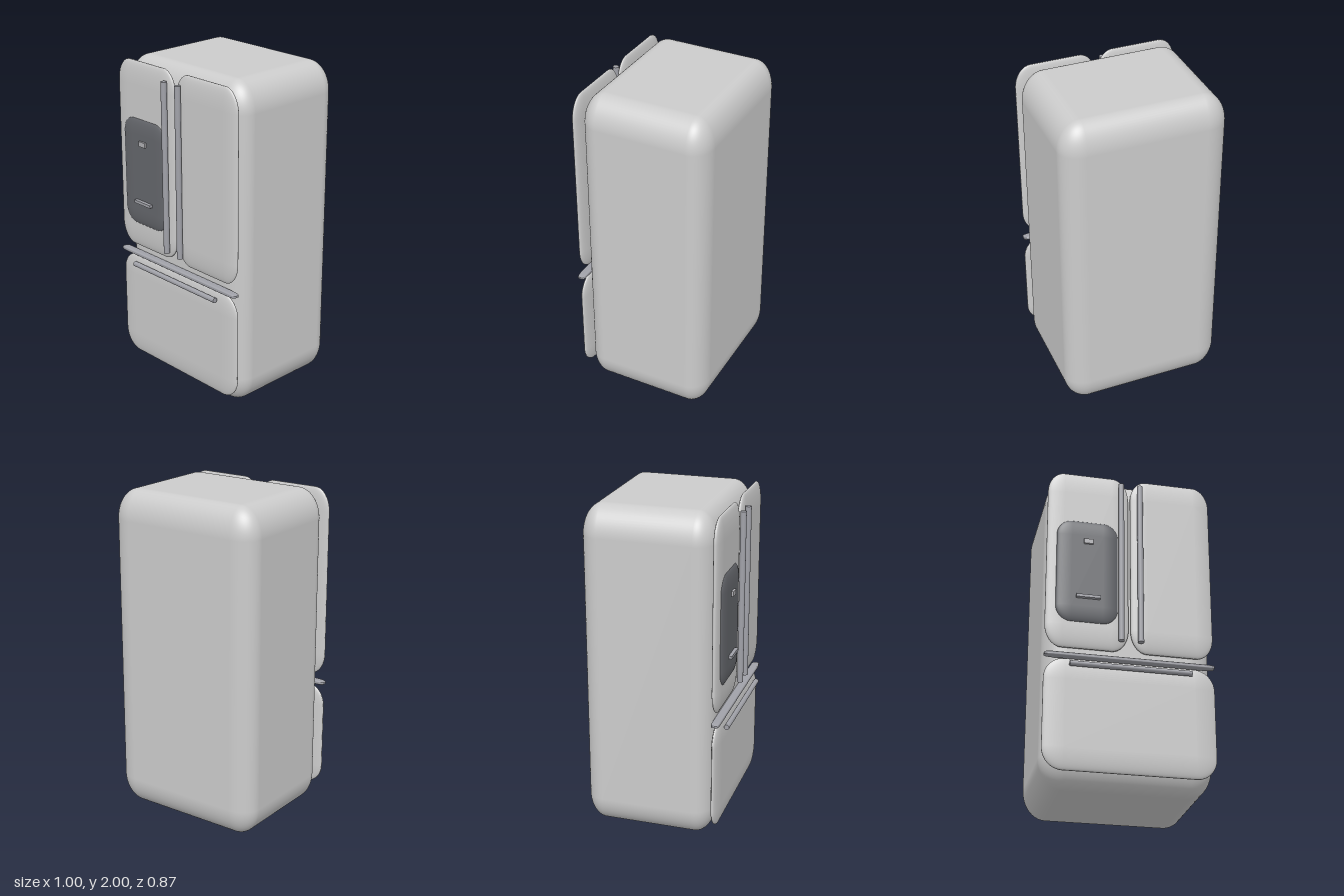
import * as THREE from 'three';

const GREY = 0xcccccc, STEEL = 0xa0a1a8, DARK = 0x64666b;

// Smooth pillow box from min/max corners, with a separate rounding radius per axis
function pillowGeometry(min, max, radii, k = 8) {
  const n = 2 * k + 1;
  const geo = new THREE.BoxGeometry(2, 2, 2, n, n, n);
  const pos = geo.attributes.position, nor = geo.attributes.normal;
  for (let v = 0; v < pos.count; v++) {
    const p = pos.getComponent.bind(pos, v);
    const side = [], dir = new THREE.Vector3();
    for (let a = 0; a < 3; a++) {
      const i = Math.round((p(a) + 1) / 2 * n);
      side[a] = i <= k ? -1 : 1;
      dir.setComponent(a, Math.tan((i <= k ? i - k : i - k - 1) / k * Math.PI / 4));
    }
    dir.normalize();
    const out = [0, 1, 2].map(a =>
      (min[a] + max[a]) / 2 + side[a] * ((max[a] - min[a]) / 2 - radii[a]) + radii[a] * dir.getComponent(a));
    const nrm = new THREE.Vector3(dir.x / radii[0], dir.y / radii[1], dir.z / radii[2]).normalize();
    pos.setXYZ(v, ...out);
    nor.setXYZ(v, nrm.x, nrm.y, nrm.z);
  }
  return geo;
}

export function createModel() {
  const group = new THREE.Group();
  const add = (name, geo, color) => {
    const mesh = new THREE.Mesh(geo, new THREE.MeshStandardMaterial({ color }));
    mesh.name = name;
    group.add(mesh);
    return mesh;
  };
  const pillow = (name, min, max, radii, color = GREY) => add(name, pillowGeometry(min, max, radii), color);
  const block = (name, size, at, color) => add(name, new THREE.BoxGeometry(...size), color).position.set(...at);

  // Cabinet
  pillow('cabinet', [-0.5, 0, -0.435], [0.5, 2, 0.355], [0.14, 0.18, 0.115]);

  // Upper doors and their vertical handles
  for (const s of [-1, 1]) {
    const side = s > 0 ? 'left' : 'right';
    const x0 = s > 0 ? 0.005 : -0.502, x1 = s > 0 ? 0.5 : -0.008;
    pillow(side + 'Door', [x0, 0.815, 0.349], [x1, 1.985, 0.396], [0.1, 0.14, 0.022]);
    add(side + 'DoorHandle', new THREE.CylinderGeometry(0.018, 0.018, 1.055, 16), STEEL)
      .position.set(s * 0.058, 1.3975, 0.416);
  }

  // Freezer drawer with horizontal handle
  pillow('freezerDrawer', [-0.502, 0.075, 0.349], [0.502, 0.745, 0.396], [0.12, 0.13, 0.022]);
  const bar = add('drawerHandle', new THREE.CylinderGeometry(0.016, 0.016, 0.716, 16), STEEL);
  bar.rotation.z = Math.PI / 2;
  bar.position.set(0, 0.701, 0.416);

  // Trim strip between doors and drawer
  pillow('dividerTrim', [-0.502, 0.75, 0.355], [0.502, 0.776, 0.404], [0.05, 0.008, 0.012], STEEL);

  // Dispenser panel, button and drip ledge
  pillow('dispenserPanel', [-0.445, 0.973, 0.37], [-0.075, 1.645, 0.412], [0.09, 0.1, 0.02], DARK);
  block('dispenserButton', [0.056, 0.03, 0.02], [-0.257, 1.501, 0.415], 0xb0b0b4);
  block('dispenserLedge', [0.142, 0.018, 0.025], [-0.256, 1.13, 0.421], STEEL);

  return group;
}
